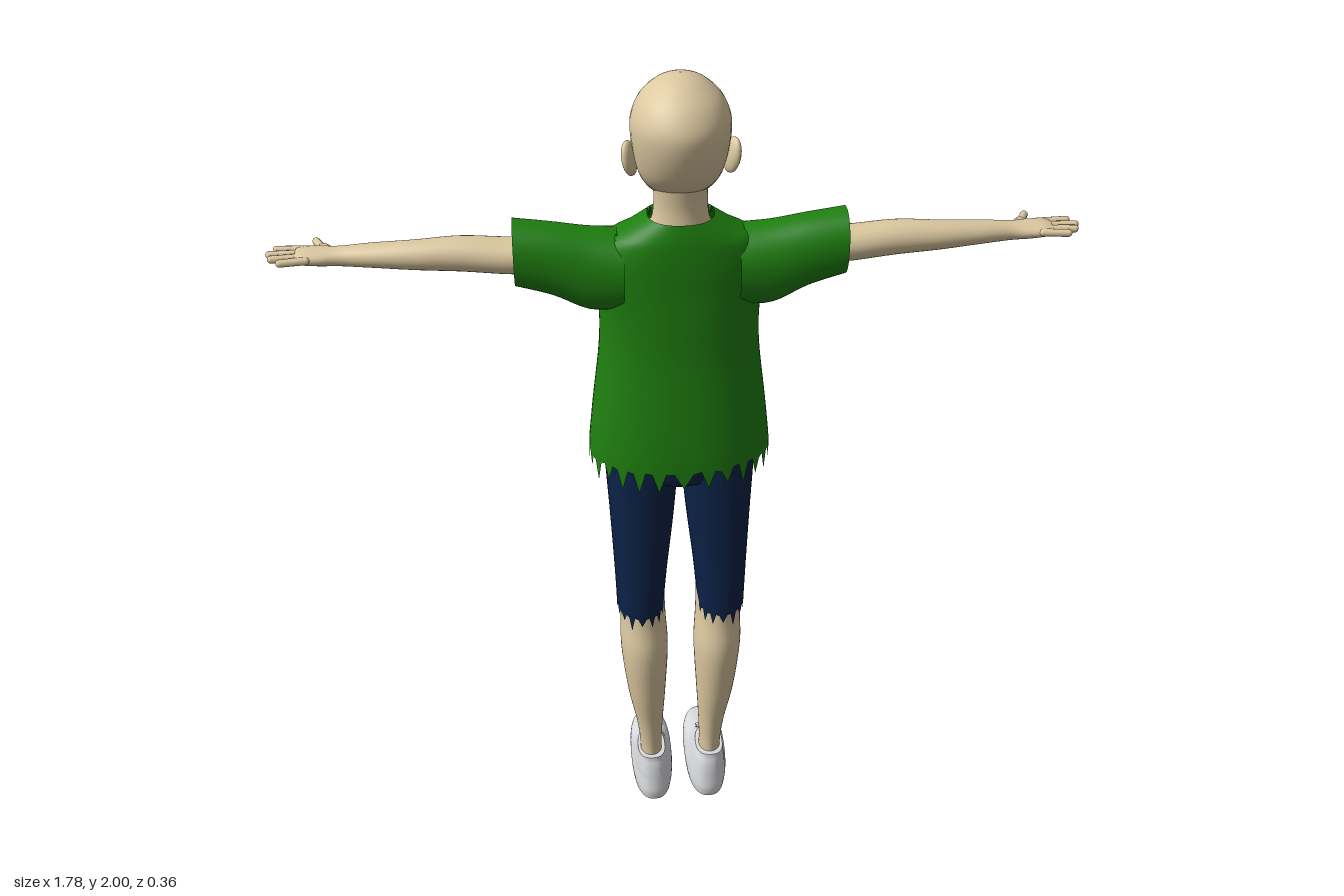
import * as THREE from 'three';

const mat = (name, color, side = THREE.FrontSide) => {
  const m = new THREE.MeshStandardMaterial({ color, side });
  m.name = name;
  return m;
};

// Smooths a short list of rings [along, centreX, halfWidth, zBack, zFront]
function smooth(keys, steps = 5) {
  const out = [];
  for (let i = 0; i < keys.length - 1; i++) {
    const [p, a, b, q] = [keys[Math.max(i - 1, 0)], keys[i], keys[i + 1], keys[Math.min(i + 2, keys.length - 1)]];
    for (let s = 0; s < steps; s++) {
      const t = s / steps;
      out.push(a.map((v, k) => v + 0.5 * t * (b[k] - p[k]
        + t * (2 * p[k] - 5 * v + 4 * b[k] - q[k] + t * (3 * (v - b[k]) + q[k] - p[k])))));
    }
  }
  out.push(keys[keys.length - 1]);
  return out;
}

// Skins rounded rings along y; low/high shift the end edges, skip leaves holes
function loft(keys, { n = 36, e = 2, low, high, capLow, capHigh, skip } = {}) {
  const rings = smooth(keys), pos = [], idx = [];
  const pw = (v) => Math.sign(v) * Math.abs(v) ** (2 / e);
  rings.forEach(([y, cx, hw, zb, zf], i) => {
    for (let j = 0; j < n; j++) {
      const t = (j / n) * Math.PI * 2;
      let dy = 0;
      if (i === 0 && low) dy = low(t, j);
      if (i === rings.length - 1 && high) dy = high(t, j);
      pos.push(cx + hw * pw(Math.cos(t)), y + dy, (zb + zf) / 2 + (zb - zf) / 2 * pw(Math.sin(t)));
    }
  });
  const tri = (a, b, c) => {
    if (skip) {
      const m = [0, 1, 2].map((k) => (pos[a * 3 + k] + pos[b * 3 + k] + pos[c * 3 + k]) / 3);
      if (skip(...m)) return;
    }
    idx.push(a, b, c);
  };
  for (let i = 0; i < rings.length - 1; i++) {
    for (let j = 0; j < n; j++) {
      const a = i * n + j, b = i * n + (j + 1) % n;
      tri(a, a + n, b);
      tri(b, a + n, b + n);
    }
  }
  const cap = (row, up) => {
    const start = pos.length / 3, r = rings[row];
    for (let j = 0; j < n; j++) pos.push(...pos.slice((row * n + j) * 3, (row * n + j) * 3 + 3));
    pos.push(r[1], r[0], (r[3] + r[4]) / 2);
    for (let j = 0; j < n; j++) {
      const a = start + j, b = start + (j + 1) % n;
      idx.push(start + n, up ? b : a, up ? a : b);
    }
  };
  if (capLow) cap(0, false);
  if (capHigh) cap(rings.length - 1, true);
  const g = new THREE.BufferGeometry();
  g.setAttribute('position', new THREE.Float32BufferAttribute(pos, 3));
  g.setIndex(idx);
  g.computeVertexNormals();
  return g;
}

const rnd = (j) => Math.abs(Math.sin(j * 12.9898) * 43758.5453) % 1;

export function createModel() {
  const skin = mat('skin', 0xdcc8a0), green = mat('shirt green', 0x1f7f10, THREE.DoubleSide);
  const navy = mat('shorts navy', 0x0b2247, THREE.DoubleSide), white = mat('shoe white', 0xdcdde0);
  const eyeWhite = mat('eye white', 0xf4f4f4), dark = mat('dark', 0x1c1714), blue = mat('iris blue', 0x2f5088);
  const model = new THREE.Group();
  const add = (parent, name, geo, material) => {
    const m = new THREE.Mesh(geo, material);
    m.name = name;
    parent.add(m);
    return m;
  };
  const capsule = (parent, name, a, b, r, material = skin) => {
    const A = new THREE.Vector3(...a), B = new THREE.Vector3(...b), d = B.clone().sub(A);
    const m = add(parent, name, new THREE.CapsuleGeometry(r, d.length(), 5, 10), material);
    m.position.copy(A).add(B).multiplyScalar(0.5);
    m.quaternion.setFromUnitVectors(new THREE.Vector3(0, 1, 0), d.normalize());
  };
  const ball = (parent, name, p, s) => {
    const m = add(parent, name, new THREE.SphereGeometry(1, 20, 14), skin);
    m.position.set(...p);
    m.scale.set(...s);
    return m;
  };

  // Head and neck
  const headKeys = [
    [1.706, 0, 0.022, 0.005, -0.024], [1.72, 0, 0.048, 0.045, -0.036], [1.745, 0, 0.07, 0.095, -0.044],
    [1.78, 0, 0.088, 0.138, -0.05], [1.82, 0, 0.098, 0.162, -0.052], [1.87, 0, 0.105, 0.177, -0.058],
    [1.91, 0, 0.104, 0.176, -0.055], [1.95, 0, 0.087, 0.152, -0.034], [1.98, 0, 0.056, 0.115, -0.001],
    [1.995, 0, 0.027, 0.085, 0.032], [2, 0, 0.002, 0.06, 0.056]];
  add(model, 'head', loft(headKeys, { capLow: true }), skin);
  add(model, 'neck', loft([[1.61, 0, 0.1, 0.12, -0.035], [1.64, 0, 0.085, 0.118, -0.018],
    [1.675, 0, 0.064, 0.115, 0], [1.72, 0, 0.058, 0.112, 0.004], [1.79, 0, 0.06, 0.12, 0.01]]), skin);
  ball(model, 'nose', [0, 1.802, -0.056], [0.013, 0.018, 0.016]).rotation.x = 0.5;
  ball(model, 'noseTip', [0, 1.798, -0.07], [0.009, 0.009, 0.013]);

  // Face details lie on the front of the head
  const headRings = smooth(headKeys);
  const faceZ = (x, y) => {
    const i = Math.max(1, headRings.findIndex((r) => r[0] >= y)), a = headRings[i - 1], b = headRings[i];
    const [, , hw, zb, zf] = a.map((v, k) => v + (b[k] - v) * (y - a[0]) / (b[0] - a[0]));
    return (zb + zf) / 2 - (zb - zf) / 2 * Math.sqrt(Math.max(0, 1 - (x / hw) ** 2));
  };
  const facePatch = (name, x, y, rx, ry, lift, material, tilt = 0) => {
    const g = new THREE.CircleGeometry(1, 24).scale(rx, ry, 1).rotateZ(tilt).rotateY(Math.PI).translate(x, y, 0);
    const p = g.attributes.position;
    for (let i = 0; i < p.count; i++) p.setZ(i, faceZ(p.getX(i), p.getY(i)) - lift);
    g.computeVertexNormals();
    add(model, name, g, material);
  };
  for (const s of [1, -1]) {
    facePatch('eye', s * 0.042, 1.829, 0.02, 0.012, 0.003, eyeWhite);
    facePatch('iris', s * 0.04, 1.829, 0.008, 0.0105, 0.0042, blue);
    facePatch('pupil', s * 0.04, 1.829, 0.004, 0.006, 0.005, dark);
    facePatch('eyelash', s * 0.043, 1.841, 0.022, 0.003, 0.005, dark, s * 0.08);
    facePatch('eyebrow', s * 0.043, 1.863, 0.022, 0.0025, 0.003, dark, s * -0.1);
  }
  facePatch('mouth', 0, 1.758, 0.02, 0.0016, 0.002, dark);

  // Shirt body, ragged at hem and collar, open where the sleeves join
  add(model, 'shirtBody', loft([
    [1.09, 0, 0.212, 0.162, -0.125], [1.2, 0, 0.2, 0.155, -0.121], [1.35, 0, 0.182, 0.143, -0.109],
    [1.45, 0, 0.18, 0.14, -0.099], [1.52, 0, 0.19, 0.138, -0.088], [1.58, 0, 0.19, 0.138, -0.07],
    [1.63, 0, 0.165, 0.136, -0.045], [1.66, 0, 0.118, 0.133, -0.022], [1.69, 0, 0.072, 0.126, -0.008]], {
    n: 84, e: 2.3,
    low: (t, j) => (Math.sin(t) > -0.4 ? (j % 3 ? -0.004 - 0.012 * rnd(j) : -0.035 - 0.03 * rnd(j)) : -0.018 - 0.004 * rnd(j)),
    high: (t, j) => { const f = Math.max(0, -Math.sin(t)); return -0.035 * f ** 3 - (f > 0.4 && j % 3 === 0 ? 0.018 : 0); },
    skip: (x, y, z) => Math.abs(x) > 0.1 && ((y - 1.565) / 0.085) ** 2 + ((z - 0.052) / 0.065) ** 2 < 1,
  }), green);

  // Shorts seat
  add(model, 'shortsSeat', loft([[1.0, 0, 0.05, 0.09, -0.04], [1.03, 0, 0.1, 0.128, -0.08],
    [1.14, 0, 0.165, 0.135, -0.095]], { e: 2.5, capLow: true }), navy);

  // One side of the body, then its mirror
  const side = new THREE.Group();
  side.name = 'leftSide';
  const ear = ball(side, 'ear', [0.108, 1.82, 0.066], [0.013, 0.04, 0.026]);
  ear.rotation.set(0.15, 0.45, -0.2);
  ball(side, 'earLobe', [0.103, 1.793, 0.058], [0.011, 0.015, 0.014]);

  const alongX = (keys, opt) => loft(keys, opt).rotateZ(-Math.PI / 2);
  add(side, 'sleeve', alongX([[0.125, -1.558, 0.088, 0.128, -0.035], [0.2, -1.563, 0.093, 0.123, -0.02],
    [0.28, -1.59, 0.081, 0.118, -0.01], [0.36, -1.608, 0.074, 0.115, -0.008]], { e: 2.2, n: 40 }), green);
  add(side, 'arm', alongX([[0.27, -1.603, 0.042, 0.1, 0.01], [0.36, -1.6, 0.039, 0.1, 0.008],
    [0.47, -1.607, 0.038, 0.09, 0.008], [0.57, -1.607, 0.032, 0.082, 0.012], [0.66, -1.605, 0.026, 0.068, 0.006],
    [0.73, -1.602, 0.021, 0.054, 0.004], [0.77, -1.602, 0.019, 0.057, -0.006], [0.805, -1.604, 0.016, 0.06, -0.008],
    [0.825, -1.605, 0.01, 0.058, -0.006]], { capHigh: true }), skin);
  [[0.055, 0.062, 0.855], [0.036, 0.042, 0.875], [0.018, 0.02, 0.881], [0, -0.004, 0.868]].forEach(([z0, z1, x]) =>
    capsule(side, 'finger', [0.8, 1.606, z0], [x, 1.606, z1], 0.0085));
  capsule(side, 'thumb', [0.745, 1.595, 0.008], [0.772, 1.59, -0.03], 0.014);
  capsule(side, 'thumbTip', [0.77, 1.59, -0.027], [0.792, 1.59, -0.07], 0.009);

  add(side, 'shortsLeg', loft([[0.637, 0.1, 0.058, 0.138, -0.033], [0.75, 0.097, 0.065, 0.138, -0.045],
    [0.9, 0.092, 0.077, 0.136, -0.068], [1.03, 0.09, 0.086, 0.133, -0.088], [1.13, 0.09, 0.088, 0.13, -0.095]], {
    n: 48, e: 2.3, low: (t, j) => (j % 3 ? 0.004 - 0.012 * rnd(j + 7) : -0.02 - 0.022 * rnd(j + 7)),
  }), navy);
  add(side, 'leg', loft([[0.07, 0.077, 0.03, 0.105, 0.015], [0.15, 0.078, 0.028, 0.102, 0.02],
    [0.24, 0.081, 0.034, 0.112, 0.022], [0.36, 0.088, 0.048, 0.132, 0.016], [0.5, 0.092, 0.059, 0.144, -0.002],
    [0.6, 0.094, 0.056, 0.128, -0.012], [0.72, 0.096, 0.055, 0.122, -0.028]], {}), skin);

  // Shoe with a raised heel collar, tongue and laces
  add(side, 'shoe', loft([[0, 0.073, 0.052, 0.128, -0.172], [0.025, 0.073, 0.055, 0.132, -0.178],
    [0.05, 0.073, 0.054, 0.13, -0.168], [0.068, 0.073, 0.05, 0.128, -0.125], [0.085, 0.074, 0.046, 0.126, -0.067],
    [0.11, 0.075, 0.041, 0.122, -0.026], [0.132, 0.077, 0.036, 0.116, 0]], {
    e: 2.5, capLow: true, capHigh: true, high: (t) => 0.008 * Math.abs(Math.sin(t)),
  }), white);
  capsule(side, 'shoeTongue', [0.076, 0.1, -0.02], [0.077, 0.14, 0.012], 0.012, white);
  for (const [y, z] of [[0.092, -0.06], [0.108, -0.038]]) {
    capsule(side, 'lace', [0.056, y, z + 0.008], [0.094, y, z + 0.008], 0.004, white);
  }
  for (const s of [-1, 1]) capsule(side, 'laceEnd', [0.076, 0.12, -0.022], [0.076 + s * 0.024, 0.1, -0.032], 0.0025, dark);

  const other = side.clone();
  other.name = 'rightSide';
  other.scale.x = -1;
  model.add(side, other);
  return model;
}
